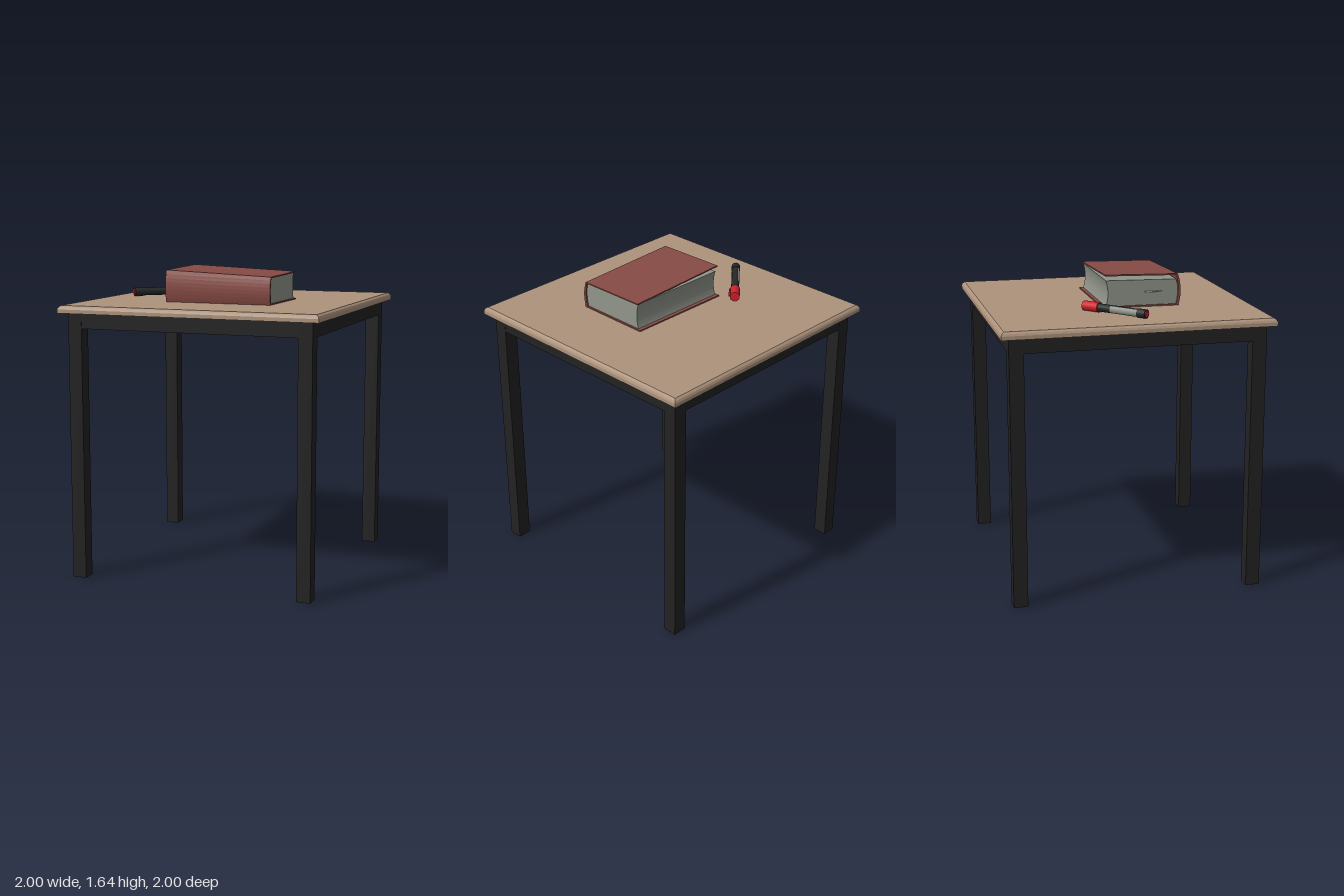
import * as THREE from 'three';

const mat = (name, color, double = false) => {
  const m = new THREE.MeshStandardMaterial({ color, side: double ? THREE.DoubleSide : THREE.FrontSide });
  m.name = name;
  return m;
};

function add(parent, name, geometry, material, x = 0, y = 0, z = 0) {
  const mesh = new THREE.Mesh(geometry, material);
  mesh.name = name;
  mesh.position.set(x, y, z);
  parent.add(mesh);
  return mesh;
}

function group(parent, name, x = 0, y = 0, z = 0, turn = 0) {
  const g = new THREE.Group();
  g.name = name;
  g.position.set(x, y, z);
  g.rotation.y = turn;
  parent.add(g);
  return g;
}

// Remove shared vertices so every face gets its own normal
function faceted(geometry) {
  const g = geometry.toNonIndexed();
  g.computeVertexNormals();
  return g;
}

function extrudeCentred(shape, depth) {
  const g = new THREE.ExtrudeGeometry(shape, { depth, bevelEnabled: false, curveSegments: 8 });
  g.translate(0, 0, -depth / 2);
  return g;
}

export function createModel() {
  const wood = mat('tan tabletop', 0xad937c);
  const black = mat('black metal', 0x222222);
  const leather = mat('red brown cover', 0x874b44);
  const paper = mat('grey paper', 0x90958a, true);
  const red = mat('bright red', 0xd3202b);
  const penBlack = mat('pen black', 0x242827);

  const model = new THREE.Group();
  model.name = 'tableWithBookAndPen';

  // Table: square top with an eased upper edge
  const table = group(model, 'table', 0, 0, 0, 0.835);
  const edge = [[0, 0], [0.708, 0], [0.708, 0.02], [0.703, 0.031], [0.692, 0.04], [0, 0.04]]
    .map(([half, y]) => new THREE.Vector2(half * Math.SQRT2, y));
  add(table, 'tabletop', faceted(new THREE.LatheGeometry(edge, 4, Math.PI / 4)), wood, 0, 1.42, 0);

  // Square legs and the rails between them
  const leg = new THREE.BoxGeometry(0.075, 1.42, 0.075);
  const rail = new THREE.BoxGeometry(1.181, 0.08, 0.073);
  const at = 0.628;
  for (const sx of [-1, 1]) {
    for (const sz of [-1, 1]) add(table, 'leg', leg, black, sx * at, 0.71, sz * at);
    add(table, 'rail', rail, black, 0, 1.379, sx * at);
    add(table, 'sideRail', rail, black, sx * at, 1.379, 0).rotation.y = Math.PI / 2;
  }

  // Book: spine on local -x, fore edge on local +x
  const book = group(model, 'book', -0.055, 1.461, 0.112, 0.824);
  const caseShape = new THREE.Shape();
  caseShape.moveTo(0.215, 0);
  caseShape.lineTo(0.215, 0.007);
  caseShape.lineTo(-0.185, 0.007);
  caseShape.quadraticCurveTo(-0.205, 0.08, -0.185, 0.15);
  caseShape.lineTo(0.2, 0.157);
  caseShape.lineTo(0.2, 0.164);
  caseShape.lineTo(-0.192, 0.157);
  caseShape.quadraticCurveTo(-0.222, 0.08, -0.197, 0);
  const cover = extrudeCentred(caseShape, 0.59);
  // The front board lifts towards one end
  const p = cover.attributes.position;
  for (let i = 0; i < p.count; i++) p.setY(i, p.getY(i) * (1 - 0.25 * p.getZ(i)));
  cover.computeVertexNormals();
  add(book, 'bookCover', cover, leather);

  const block = new THREE.Shape();
  block.moveTo(-0.185, 0.006);
  block.lineTo(0.195, 0.006);
  block.quadraticCurveTo(0.172, 0.075, 0.195, 0.144);
  block.lineTo(-0.185, 0.139);
  block.quadraticCurveTo(-0.205, 0.08, -0.185, 0.006);
  add(book, 'pages', extrudeCentred(block, 0.572), paper);

  // Loose slip poking out of the pages
  const slip = new THREE.Shape([[-0.135, -0.28], [-0.018, -0.335], [-0.005, -0.28]]
    .map(([x, z]) => new THREE.Vector2(x, z)));
  add(book, 'bookmark', new THREE.ShapeGeometry(slip).rotateX(Math.PI / 2), paper, 0, 0.08, 0);

  // Marker pen lying along x
  const pen = group(model, 'pen', -0.265, 1.486, -0.335, -0.02);
  const tube = (name, r, x0, x1, material, ...arc) => {
    const open = arc.length > 0;
    const g = new THREE.CylinderGeometry(r, r, x1 - x0, open ? 6 : 12, 1, open, ...arc);
    g.rotateZ(-Math.PI / 2);
    return add(pen, name, g, material, (x0 + x1) / 2, 0, 0);
  };
  tube('penEndPlug', 0.017, -0.198, -0.19, red);
  tube('penEnd', 0.024, -0.193, -0.145, penBlack);
  tube('penBarrel', 0.0215, -0.15, 0.11, penBlack);
  tube('penCap', 0.0265, 0.1, 0.195, red);
  tube('penLabel', 0.0225, -0.145, 0.02, paper, Math.PI * 0.7, Math.PI * 0.6);
  add(pen, 'penClip', new THREE.BoxGeometry(0.085, 0.006, 0.012), red, 0.145, 0.0, 0.027);

  return model;
}
